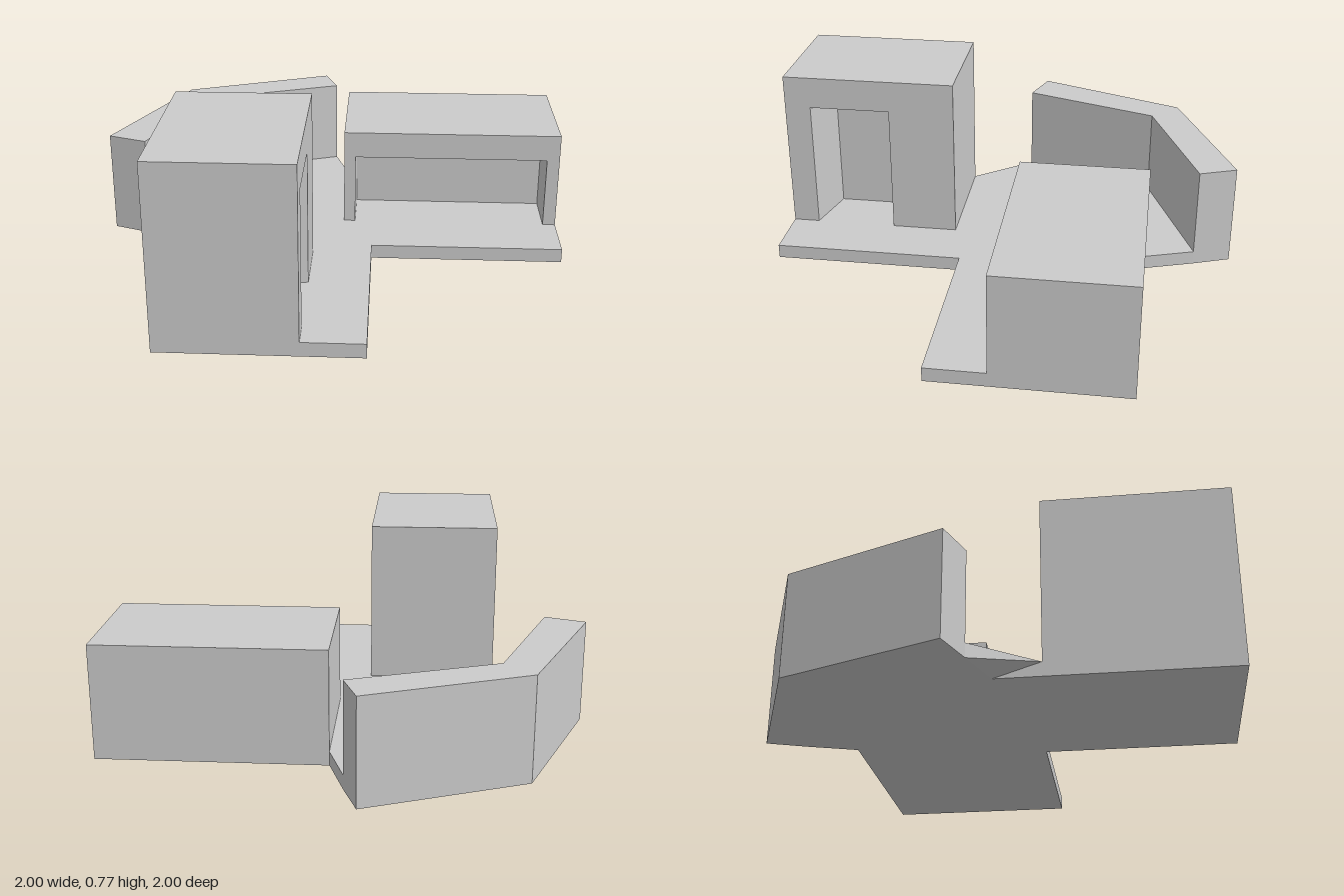
import * as THREE from 'three';

const material = new THREE.MeshStandardMaterial({ color: 0xcccccc, flatShading: true });

// Solid between two counter-clockwise outlines, one at z = z0 and one at z = z1
function loft(back, front, z0, z1) {
  const n = back.length;
  const pos = [];
  const put = (outline, z, ...ids) => ids.forEach((i) => pos.push(outline[i][0], outline[i][1], z));
  const caps = (o) => THREE.ShapeUtils.triangulateShape(o.map((p) => new THREE.Vector2(...p)), []);
  for (const [a, b, c] of caps(back)) put(back, z0, a, c, b);
  for (const [a, b, c] of caps(front)) put(front, z1, a, b, c);
  for (let i = 0; i < n; i++) {
    const j = (i + 1) % n;
    put(back, z0, i, j);
    put(front, z1, j);
    put(back, z0, i);
    put(front, z1, j, i);
  }
  const g = new THREE.BufferGeometry();
  g.setAttribute('position', new THREE.Float32BufferAttribute(pos, 3));
  g.computeVertexNormals();
  return g;
}

// Upright prism from plan outlines given as [x, z]
function plan(bottom, top, y0, y1) {
  const flip = (o) => o.map(([x, z]) => [x, -z]);
  return loft(flip(bottom), flip(top), y0, y1).rotateX(-Math.PI / 2);
}

// Wall face with a doorway cut up from the floor
const arch = (u0, u1, h, a, b, top) => [
  [u0, FLOOR], [a, FLOOR], [a, top], [b, top], [b, FLOOR], [u1, FLOOR], [u1, h], [u0, h],
];

const FLOOR = 0.06;
const RECESS = 0.23;

export function createModel() {
  const model = new THREE.Group();
  const add = (name, geometry, parent = model) => {
    const mesh = new THREE.Mesh(geometry, material);
    mesh.name = name;
    parent.add(mesh);
    return mesh;
  };
  const block = (x0, x1, y0, y1, z0, z1) =>
    new THREE.BoxGeometry(x1 - x0, y1 - y0, z1 - z0)
      .translate((x0 + x1) / 2, (y0 + y1) / 2, (z0 + z1) / 2);

  // Floor slab, undercut at the corner beside the tall block
  const slab = (cornerZ) => [
    [-0.63, 1], [0.18, 1], [0.18, 0.18], [1, 0.18], [1, -0.63], [0.05, -0.63],
    [-0.02, -0.84], [-0.08, -1], [-0.74, -0.74], [-1, -0.08], [-0.83, -0.02], [-0.63, cornerZ],
  ];
  add('floorSlab', plan(slab(0.05), slab(0.24), 0, FLOOR));

  // Angled wall around the rear corner
  const wall = [
    [-1, -0.08], [-0.83, -0.02], [-0.62, -0.62], [-0.02, -0.84], [-0.08, -1], [-0.74, -0.74],
  ];
  add('cornerWall', plan(wall, wall, FLOOR, 0.445));

  // Long low block with a wide recess facing the front
  const low = new THREE.Group();
  low.name = 'lowBlock';
  const lowFace = arch(0.05, 1, 0.485, 0.1, 0.945, 0.37);
  add('lowBlockFront', loft(lowFace, lowFace, -0.07 - RECESS, -0.07), low);
  add('lowBlockBack', block(0.05, 1, FLOOR, 0.485, -0.63, -0.07 - RECESS), low);
  model.add(low);

  // Tall block with a tapered doorway facing +x
  const tall = new THREE.Group();
  tall.name = 'tallBlock';
  const outer = arch(-1, -0.24, 0.77, -0.885, -0.53, 0.63);
  const inner = arch(-1, -0.24, 0.77, -0.83, -0.585, 0.585);
  add('tallBlockFront', loft(inner, outer, -0.07 - RECESS, -0.07).rotateY(Math.PI / 2), tall);
  add('tallBlockBack', block(-0.63, -0.07 - RECESS, FLOOR, 0.77, 0.24, 1), tall);
  model.add(tall);

  return model;
}
